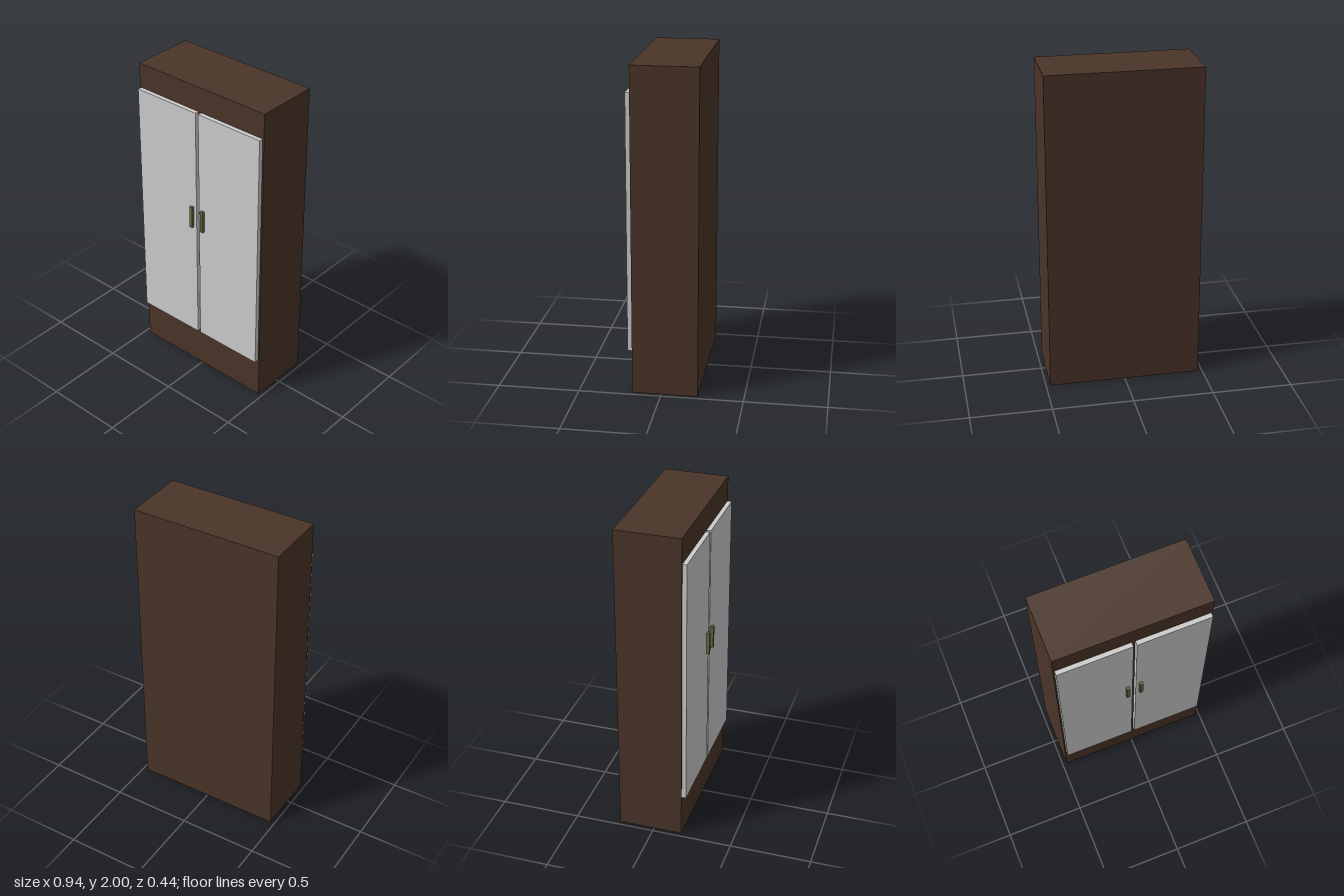
import * as THREE from 'three';

const material = (color) => new THREE.MeshStandardMaterial({ color });

// Box given by its minimum and maximum corners
function box(name, min, max, mat) {
  const size = max.map((v, i) => v - min[i]);
  const mesh = new THREE.Mesh(new THREE.BoxGeometry(...size), mat);
  mesh.position.set(...max.map((v, i) => (v + min[i]) / 2));
  mesh.name = name;
  return mesh;
}

export function createModel() {
  const model = new THREE.Group();
  model.name = 'wardrobe';
  const wood = material(0x4a3428);
  const panel = material(0xcccccc);
  const metal = material(0x626a40);

  // Solid cabinet
  model.add(box('cabinet', [-0.472, 0, -0.222], [0.472, 2, 0.177], wood));

  // Mirrored pair of doors, each with a handle near the centre gap
  for (const [side, s] of [['left', 1], ['right', -1]]) {
    const xs = (a, b) => (s > 0 ? [a, b] : [-b, -a]);
    const [d0, d1] = xs(0.0105, 0.4625);
    const [h0, h1] = xs(0.0315, 0.0525);
    const group = new THREE.Group();
    group.name = `${side}DoorAssembly`;
    group.add(
      box(`${side}Door`, [d0, 0.268, 0.177], [d1, 1.843, 0.204], panel),
      box(`${side}Handle`, [h0, 1.058, 0.204], [h1, 1.202, 0.222], metal)
    );
    model.add(group);
  }
  return model;
}
